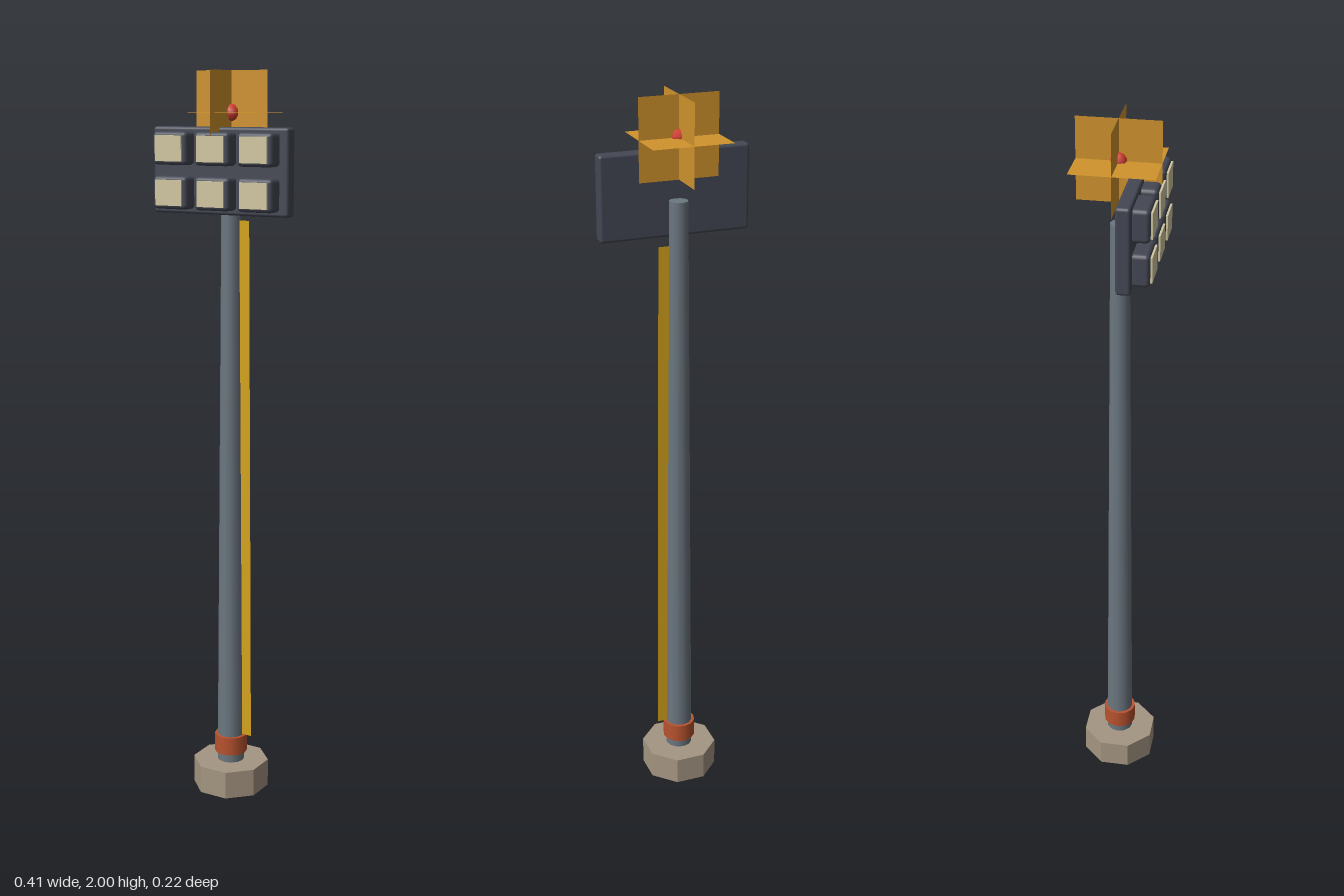
import * as THREE from 'three';
import { RoundedBoxGeometry } from 'three/addons/geometries/RoundedBoxGeometry.js';

function material(name, color, extra = {}) {
  const m = new THREE.MeshStandardMaterial({ color, ...extra });
  m.name = name;
  return m;
}

export function createModel() {
  const model = new THREE.Group();
  model.name = 'floodlightMast';

  const steel = material('steelGrey', 0x6c7780);
  const concrete = material('concrete', 0xa59682, { flatShading: true });
  const rust = material('rustOrange', 0xb9532f);
  const dark = material('darkHousing', 0x444854);
  const cream = material('creamLens', 0xd2c8a2);
  const yellow = material('yellowStrip', 0xd6a41c, { side: THREE.DoubleSide });
  const amber = material('amberGlow', 0xd0932c, { side: THREE.DoubleSide });
  const red = material('redBeacon', 0xd03a2c);

  const add = (name, geometry, mat, x = 0, y = 0, z = 0, parent = model) => {
    const mesh = new THREE.Mesh(geometry, mat);
    mesh.name = name;
    mesh.position.set(x, y, z);
    parent.add(mesh);
    return mesh;
  };

  // Octagonal footing, tapered pole and collar
  const footing = new THREE.CylinderGeometry(0.107, 0.107, 0.078, 8);
  footing.rotateY(Math.PI / 8);
  add('footing', footing, concrete, 0, 0.039, 0);
  add('pole', new THREE.CylinderGeometry(0.025, 0.038, 1.66, 12), steel, 0, 0.9, 0);
  add('collar', new THREE.CylinderGeometry(0.046, 0.046, 0.052, 12), rust, 0, 0.129, 0);

  // Thin strip that follows the taper of the pole
  const strip = new THREE.Shape([
    new THREE.Vector2(0.036, 0.158), new THREE.Vector2(0.066, 0.158),
    new THREE.Vector2(0.056, 1.613), new THREE.Vector2(0.026, 1.613),
  ]);
  add('sideStrip', new THREE.ShapeGeometry(strip), yellow);

  // Lamp panel with two rows of three lamps
  const panel = new THREE.Group();
  panel.name = 'lampPanel';
  model.add(panel);
  add('backPlate', new RoundedBoxGeometry(0.408, 0.226, 0.038, 2, 0.008), dark, 0, 1.743, 0.041, panel);
  const housing = new RoundedBoxGeometry(0.104, 0.086, 0.05, 2, 0.011);
  const lens = new THREE.BoxGeometry(0.081, 0.067, 0.008);
  for (const y of [1.686, 1.801]) {
    for (const x of [-0.128, 0, 0.128]) {
      add('lampHousing', housing, dark, x, y, 0.078, panel);
      add('lampLens', lens, cream, x, y, 0.104, panel);
    }
  }

  // Beacon: red bulb inside three crossed square sheets
  const beacon = new THREE.Group();
  beacon.name = 'beacon';
  beacon.position.set(0, 1.8925, -0.003);
  model.add(beacon);
  const sheet = new THREE.PlaneGeometry(0.215, 0.215);
  add('glowSheetFront', sheet, amber, 0, 0, 0, beacon);
  add('glowSheetSide', sheet, amber, 0, 0, 0, beacon).rotation.y = Math.PI / 2;
  add('glowSheetLevel', sheet, amber, 0, 0, 0, beacon).rotation.x = -Math.PI / 2;
  add('beaconBulb', new THREE.SphereGeometry(0.023, 7, 5), red, 0, 0, 0, beacon);

  return model;
}
